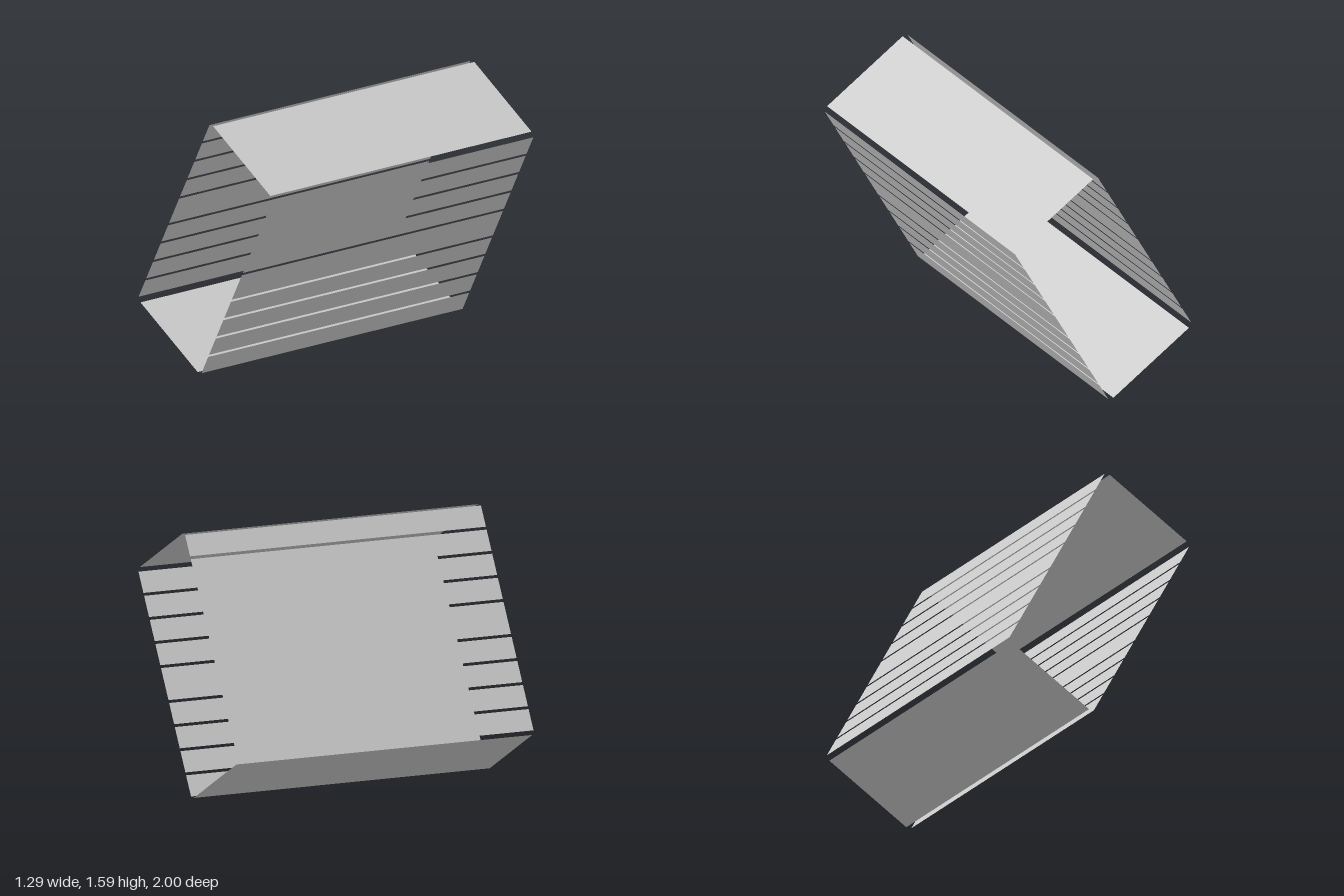
import * as THREE from 'three';

// A tilted open-ended sleeve: two plain panels and two walls of thin slats.
export function createModel() {
  const model = new THREE.Group();
  const material = new THREE.MeshStandardMaterial({ color: 0xcccccc, side: THREE.DoubleSide });

  const depth = 2;
  const tilt = THREE.MathUtils.degToRad(28.5);
  const panelWidth = 0.627, panelOffset = 0.733;
  const wallOffset = 0.344;
  const slat = 0.135, wideSlat = 0.204, gap = 0.018;

  const sleeve = new THREE.Group();
  sleeve.name = 'sleeve';
  sleeve.position.y = 0.795;
  sleeve.rotation.z = -tilt;
  model.add(sleeve);

  // Plain end panels, facing outwards
  for (const s of [1, -1]) {
    const geometry = new THREE.PlaneGeometry(panelWidth, depth).rotateX(-s * Math.PI / 2);
    const panel = new THREE.Mesh(geometry, material);
    panel.name = s > 0 ? 'topPanel' : 'bottomPanel';
    panel.position.y = s * panelOffset;
    sleeve.add(panel);
  }

  // Slatted side walls: a wide middle slat with four narrow ones on either side
  const heights = [slat, slat, slat, slat, wideSlat, slat, slat, slat, slat];
  const total = heights.reduce((a, h) => a + h, 0) + gap * (heights.length - 1);
  for (const s of [1, -1]) {
    const wall = new THREE.Group();
    wall.name = s > 0 ? 'leftWall' : 'rightWall';
    wall.position.x = s * wallOffset;
    let y = -total / 2;
    heights.forEach((h, i) => {
      const geometry = new THREE.PlaneGeometry(depth, h).rotateY(s * Math.PI / 2);
      const mesh = new THREE.Mesh(geometry, material);
      mesh.name = `slat${i + 1}`;
      mesh.position.y = y + h / 2;
      wall.add(mesh);
      y += h + gap;
    });
    sleeve.add(wall);
  }
  return model;
}
